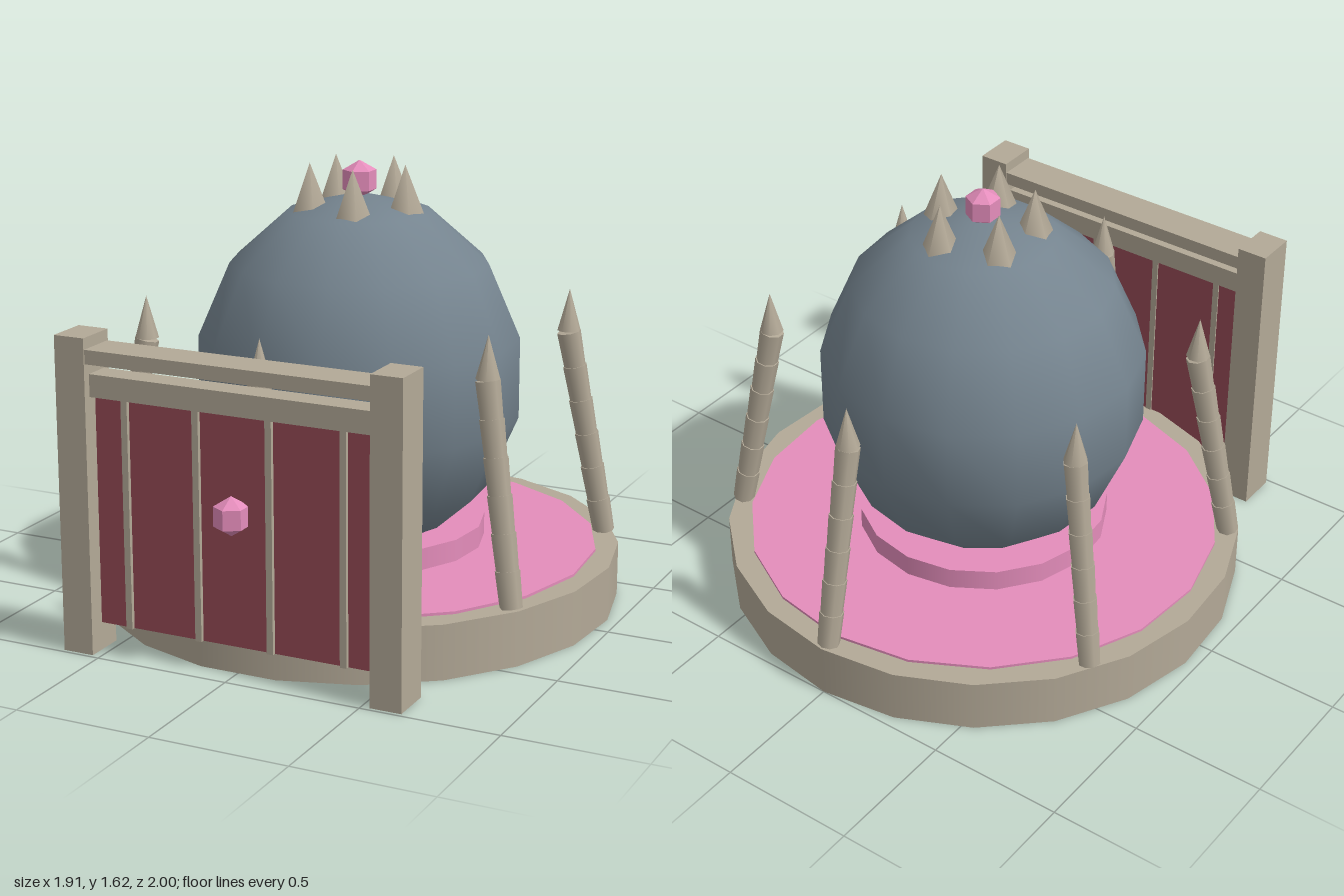
import * as THREE from 'three';

const stone = new THREE.MeshStandardMaterial({ color: 0xb3a997 });
const pink = new THREE.MeshStandardMaterial({ color: 0xe48dbb });
const slate = new THREE.MeshStandardMaterial({ color: 0x75848f });
const red = new THREE.MeshStandardMaterial({ color: 0x964a56 });
const gemPink = pink.clone();
gemPink.flatShading = true;

const CZ = -0.04; // centre of the round platform

function add(parent, name, geometry, material, x, y, z) {
  const mesh = new THREE.Mesh(geometry, material);
  mesh.name = name;
  mesh.position.set(x, y, z);
  parent.add(mesh);
  return mesh;
}

function disc(parent, name, radius, y0, y1, sides, material) {
  const geo = new THREE.CylinderGeometry(radius, radius, y1 - y0, sides).rotateY(Math.PI);
  return add(parent, name, geo, material, 0, (y0 + y1) / 2, CZ);
}

function box(parent, name, x0, x1, y0, y1, z0, z1, material) {
  return add(parent, name, new THREE.BoxGeometry(x1 - x0, y1 - y0, z1 - z0), material,
    (x0 + x1) / 2, (y0 + y1) / 2, (z0 + z1) / 2);
}

function gem(parent, name, x, y, z) {
  return add(parent, name, new THREE.SphereGeometry(0.07, 6, 3).rotateY(-Math.PI / 2), gemPink, x, y, z);
}

// Inward-leaning column of stacked drums with an upright spike on top
function makeColumn() {
  const column = new THREE.Group();
  column.name = 'column';
  const count = 6;
  const foot = new THREE.Vector2(0.92, 0.2), head = new THREE.Vector2(0.77, 0.97);
  const lean = Math.atan2(foot.x - head.x, head.y - foot.y);
  const drum = new THREE.CylinderGeometry(0.044, 0.04, foot.distanceTo(head) / count, 8);
  for (let i = 0; i < count; i++) {
    const p = foot.clone().lerp(head, (i + 0.5) / count);
    add(column, 'columnDrum', drum, stone, 0, p.y, -p.x).rotation.x = lean;
  }
  add(column, 'columnSpike', new THREE.ConeGeometry(0.043, 0.155, 8), stone, 0, 1.053, -head.x);
  return column;
}

export function createModel() {
  const model = new THREE.Group();
  model.name = 'domedShrine';

  // Platform
  disc(model, 'platform', 0.96, 0, 0.2, 21, stone);
  disc(model, 'courtyardFloor', 0.88, 0.1, 0.21, 19, pink);
  disc(model, 'domePlinth', 0.465, 0.2, 0.29, 17, pink);

  // Egg-shaped dome
  const domeGeo = new THREE.SphereGeometry(0.6, 15, 7).rotateY(-Math.PI / 2).scale(1, 0.67 / 0.6, 1);
  add(model, 'dome', domeGeo, slate, 0, 0.83, CZ);

  // Crown of spikes around a gem
  const crown = new THREE.Group();
  crown.name = 'crown';
  const spikeGeo = new THREE.ConeGeometry(0.07, 0.18, 5).rotateY(Math.PI);
  for (let i = 0; i < 5; i++) {
    const a = (i * Math.PI * 2) / 5;
    add(crown, 'crownSpike', spikeGeo, stone, 0.18 * Math.cos(a), 1.52, CZ + 0.18 * Math.sin(a));
  }
  gem(crown, 'crownGem', 0, 1.545, CZ);
  model.add(crown);

  // Ring of columns
  for (let i = 0; i < 6; i++) {
    const column = makeColumn();
    column.position.z = CZ;
    column.rotation.y = (i * Math.PI) / 3;
    model.add(column);
  }

  // Front gate
  const gate = new THREE.Group();
  gate.name = 'gate';
  for (const s of [-1, 1]) {
    const c = s * 0.5875;
    box(gate, 'gatePost', c - 0.0575, c + 0.0575, 0, 1.13, 0.83, 0.985, stone);
  }
  box(gate, 'gateLintel', -0.53, 0.53, 1.04, 1.09, 0.835, 0.98, stone);
  box(gate, 'gateCrossbeam', -0.53, 0.53, 0.92, 1.0, 0.86, 0.955, stone);
  box(gate, 'gatePanel', -0.53, 0.53, 0.1, 0.925, 0.895, 0.92, red);
  for (const x of [-0.41, -0.137, 0.137, 0.41]) {
    box(gate, 'gateSlat', x - 0.012, x + 0.012, 0.1, 0.925, 0.89, 0.935, stone);
  }
  gem(gate, 'gateGem', 0, 0.57, 0.94);
  model.add(gate);

  return model;
}
